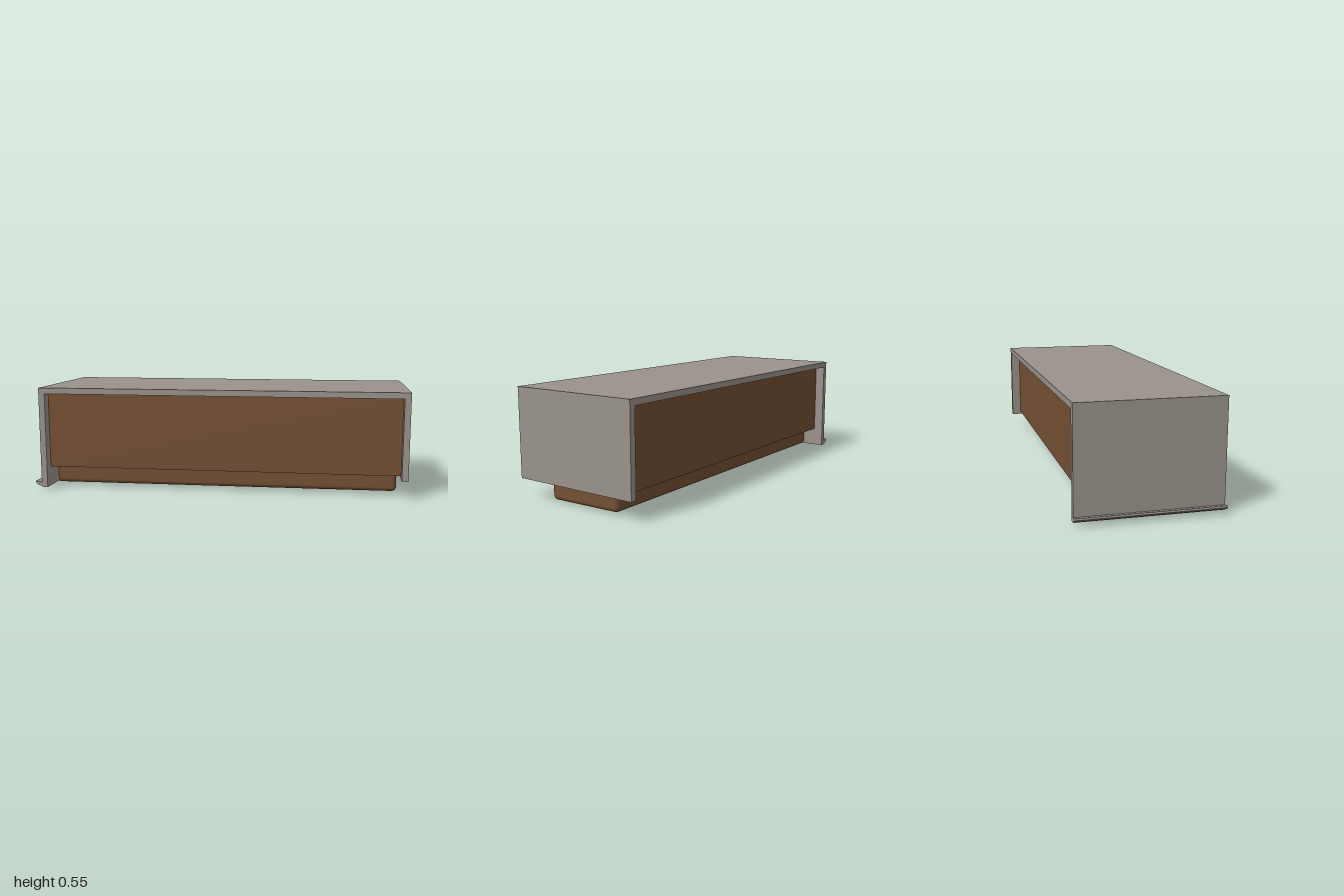
import * as THREE from 'three';
import { RoundedBoxGeometry } from 'three/addons/geometries/RoundedBoxGeometry.js';

const shell = new THREE.MeshStandardMaterial({ color: 0x9a928b });
shell.name = 'warm grey shell';
const wood = new THREE.MeshStandardMaterial({ color: 0x744f34 });
wood.name = 'brown wood';

// The whole cabinet is slightly skewed: depth drifts backwards towards +x.
function skew(geometry) {
  const p = geometry.attributes.position;
  for (let i = 0; i < p.count; i++) {
    const x = p.getX(i);
    p.setZ(i, p.getZ(i) * (1 - 0.006 * x) - 0.0145 * x - 0.006);
  }
  return geometry;
}

// Block given by its limits on each axis, with optional rounded edges
function block(name, material, [x0, x1], [y0, y1], [z0, z1], radius = 0) {
  const size = [x1 - x0, y1 - y0, z1 - z0];
  const geometry = radius
    ? new RoundedBoxGeometry(...size, 4, radius)
    : new THREE.BoxGeometry(...size);
  geometry.translate((x0 + x1) / 2, (y0 + y1) / 2, (z0 + z1) / 2);
  const mesh = new THREE.Mesh(skew(geometry), material);
  mesh.name = name;
  return mesh;
}

export function createModel() {
  const model = new THREE.Group();
  model.name = 'cabinet';
  const depth = [-0.359, 0.359];

  // Grey shell: top and two sides of unequal length
  model.add(
    block('topPanel', shell, [-0.965, 0.995], [0.523, 0.555], depth),
    block('rightPanel', shell, [-0.965, -0.932], [0.012, 0.524], depth),
    block('leftPanel', shell, [0.962, 0.995], [0.098, 0.524], depth),
  );

  // Flared lip along the foot of the long side
  const lip = new THREE.Shape([
    [-0.932, 0.01], [-0.952, 0.01], [-0.985, 0.022],
    [-1, 0.034], [-0.998, 0.043], [-0.962, 0.036], [-0.932, 0.036],
  ].map(([x, y]) => new THREE.Vector2(x, y)));
  const lipGeometry = new THREE.ExtrudeGeometry(lip, { depth: 0.718, bevelEnabled: false });
  lipGeometry.translate(0, 0, -0.359);
  const lipMesh = new THREE.Mesh(skew(lipGeometry), shell);
  lipMesh.name = 'footLip';
  model.add(lipMesh);

  // Recessed wooden body
  model.add(block('body', wood, [-0.934, 0.964], [0.115, 0.525], [-0.305, 0.305]));

  // Narrower rounded plinth, its underside rising a little to the back and +x
  const plinth = block('plinth', wood, [-0.95, 0.95], [0, 0.14], [-0.232, 0.193], 0.025);
  const p = plinth.geometry.attributes.position;
  for (let i = 0; i < p.count; i++) {
    const low = 1 - p.getY(i) / 0.14;
    const rise = 0.003 * (p.getX(i) + 0.95) / 1.9 + 0.007 * (0.2 - p.getZ(i)) / 0.43;
    p.setY(i, p.getY(i) + low * rise);
  }
  model.add(plinth);

  return model;
}
